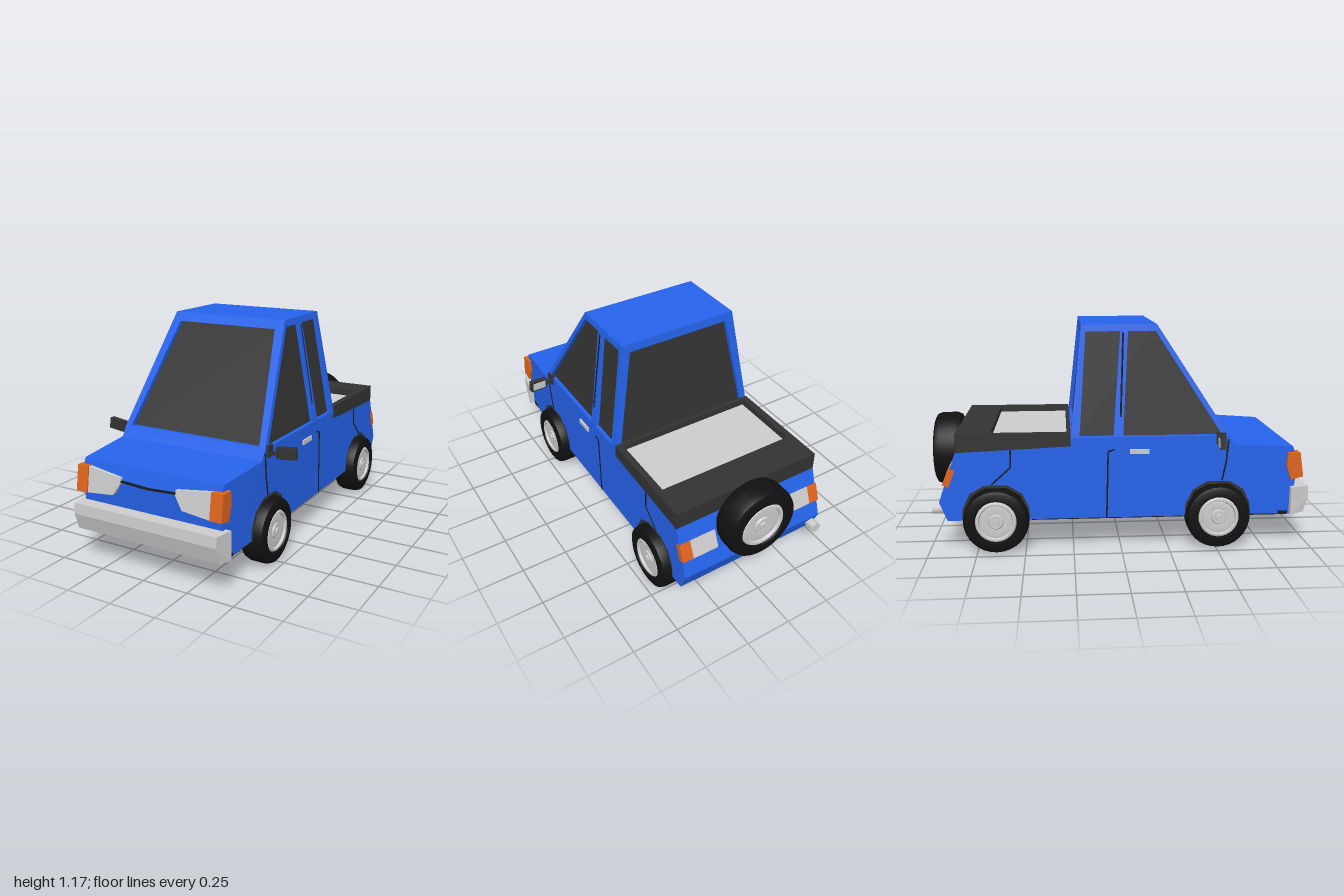
import * as THREE from 'three';
import { toCreasedNormals } from 'three/addons/utils/BufferGeometryUtils.js';

const mat = (color, flat = true) => new THREE.MeshStandardMaterial({ color, flatShading: flat });
const blue = mat(0x2563eb), dark = mat(0x333333), black = mat(0x1a1a1a), grey = mat(0xcccccc), orange = mat(0xdd651e);
const rubber = mat(0x111111, false), rim = mat(0xcccccc, false);

const toPath = (pts, T = THREE.Path) => new T(pts.map(p => new THREE.Vector2(p[0], p[1])));

// Extrudes an outline along +z
function slab(pts, depth, holes = []) {
  const shape = toPath(pts, THREE.Shape);
  shape.holes = holes.map(h => toPath(h));
  return new THREE.ExtrudeGeometry(shape, { depth, bevelEnabled: false });
}

// Extrudes a (z, y) side outline across x, from -depth to 0
const sideSlab = (pts, depth, holes) => slab(pts, depth, holes).rotateY(-Math.PI / 2);

// Moves every vertex by a rule
function warp(geo, rule) {
  const p = geo.attributes.position, v = new THREE.Vector3();
  for (let i = 0; i < p.count; i++) {
    v.fromBufferAttribute(p, i);
    rule(v);
    p.setXYZ(i, v.x, v.y, v.z);
  }
  geo.computeVertexNormals();
  return geo;
}

// Side outline spanning both sides, with half width given by a rule
const fullWidth = (pts, half) => warp(sideSlab(pts, 1), v => { v.x = (v.x > -0.5 ? 1 : -1) * half(v); });

const cabinHalf = y => 0.42 - (y - 0.6) * 0.158;
const screenZ = y => 0.56 - (y - 0.6) * 0.65;
const backZ = y => -0.26 + (y - 0.6) * 0.105;

export function createModel() {
  const model = new THREE.Group();
  const add = (name, geo, material, parent = model) => {
    const m = new THREE.Mesh(geo, material);
    m.name = name;
    parent.add(m);
    return m;
  };
  const box = (name, size, pos, material, parent) => {
    const m = add(name, new THREE.BoxGeometry(...size), material, parent);
    m.position.set(...pos);
    return m;
  };

  // Lower body with faceted wheel arches
  const arch = c => [[-0.175, 0.17], [-0.17, 0.235], [-0.135, 0.31], [-0.06, 0.355],
    [0.06, 0.355], [0.135, 0.31], [0.17, 0.235], [0.175, 0.17]].map(([z, y]) => [c + z, y]);
  const axles = [-0.65, 0.51];
  add('body', fullWidth([
    [-0.9, 0.17], ...arch(axles[0]), ...arch(axles[1]), [0.91, 0.16], [0.935, 0.44], [0.91, 0.53],
    [0.59, 0.55], [0.56, 0.6], [-0.26, 0.6], [-0.26, 0.555], [-0.85, 0.53], [-0.94, 0.27],
  ], v => 0.42 - Math.max(0, v.z - 0.59) * 0.06), blue);
  add('underside', fullWidth([[-0.89, 0.165], [0.9, 0.157], [0.9, 0.2], [-0.89, 0.2]],
    () => 0.335), black);
  box('floorMiddle', [0.83, 0.02, 0.8], [0, 0.174, -0.07], black);
  box('floorFront', [0.81, 0.02, 0.2], [0, 0.17, 0.79], black);
  for (const z of axles) box('wheelWell', [0.66, 0.2, 0.36], [0, 0.27, z], dark);
  for (const z of axles) for (const s of [-1, 1])
    add('archLining', sideSlab([...arch(z), ...arch(z).reverse().map(([a, y]) =>
      [z + (a - z) * 0.92, 0.17 + (y - 0.17) * 0.92])], 0.08).translate(s > 0 ? 0.419 : -0.339, 0, 0), dark);

  // Cabin: dark glass core inside sloping window frames
  const coreAt = y => [screenZ(y) - 0.03, backZ(y) + 0.022];
  const [f0, b0] = coreAt(0.58), [f1, b1] = coreAt(1.15);
  add('glass', fullWidth([[b0, 0.58], [f0, 0.58], [f1, 1.15], [b1, 1.15]], v => cabinHalf(v.y) - 0.02), dark);
  const outer = [[-0.42, 0.6], [0.42, 0.6], [0.33, 1.17], [-0.33, 1.17]];
  const opening = [[-0.385, 0.604], [0.385, 0.604], [0.288, 1.125], [-0.288, 1.125]];
  add('windscreenFrame', warp(slab(outer, 0.03, [opening]), v => { v.z += screenZ(v.y) - 0.03; }), blue);
  add('rearWindowFrame', warp(slab(outer, 0.022, [opening]), v => { v.z += backZ(v.y); }), blue);
  add('roof', fullWidth([[backZ(1.135), 1.135], [screenZ(1.135), 1.135], [0.19, 1.17], [-0.2, 1.17]],
    v => cabinHalf(v.y)), blue);
  const sideOuter = [[-0.26, 0.6], [0.56, 0.6], [0.19, 1.17], [-0.2, 1.17]];
  const frontWindow = [[0.01, 0.604], [0.525, 0.604], [0.183, 1.135], [0.04, 1.135]];
  const rearWindow = [[-0.215, 0.604], [-0.04, 0.604], [0, 1.135], [-0.178, 1.135]];

  // Thin dark joint between two (z, y) points on a body side
  const seam = (s, a, b) => {
    const m = box('panelSeam', [0.006, Math.hypot(b[0] - a[0], b[1] - a[1]), 0.008], [0, 0, 0], black);
    const A = new THREE.Vector3(s * (a[1] > 0.6 ? cabinHalf(a[1]) : 0.42), a[1], a[0]);
    const B = new THREE.Vector3(s * (b[1] > 0.6 ? cabinHalf(b[1]) : 0.42), b[1], b[0]);
    m.position.copy(A).lerp(B, 0.5);
    m.quaternion.setFromUnitVectors(new THREE.Vector3(0, 1, 0), B.sub(A).normalize());
  };
  const seams = [
    [[-0.035, 0.535], [-0.068, 0.525], [-0.076, 0.17]],
    [[0.56, 0.58], [0.55, 0.46], [0.53, 0.36]],
    [[-0.57, 0.54], [-0.57, 0.45], [-0.67, 0.36]],
    [[0.015, 1.13], [-0.002, 0.7]],
  ];

  for (const s of [-1, 1]) {
    add('sideWindowFrame', warp(sideSlab(sideOuter, 0.02, [frontWindow, rearWindow]), v => {
      v.x += s > 0 ? cabinHalf(v.y) : 0.02 - cabinHalf(v.y);
    }), blue);
    for (const line of seams) for (let i = 1; i < line.length; i++) seam(s, line[i - 1], line[i]);
    box('doorHandle', [0.016, 0.024, 0.1], [s * 0.422, 0.523, 0.095], grey);

    // Door mirror
    const mirror = new THREE.Group();
    mirror.name = 'doorMirror';
    mirror.position.set(s * 0.42, 0.575, 0.52);
    mirror.rotation.y = s * 0.12;
    model.add(mirror);
    box('mirrorMount', [0.02, 0.06, 0.05], [0, 0.01, 0], dark, mirror);
    box('mirrorArm', [0.08, 0.016, 0.016], [s * 0.03, 0, 0], dark, mirror);
    box('mirrorHead', [0.1, 0.058, 0.03], [s * 0.092, 0.008, 0], dark, mirror).rotation.z = s * 0.07;
    box('mirrorGlass', [0.08, 0.042, 0.004], [s * 0.092, 0.008, -0.016], grey, mirror).rotation.z = s * 0.07;

    // Front lamps
    const lens = [[0.355, 0.498], [0.16, 0.473], [0.16, 0.445], [0.2, 0.383], [0.355, 0.368]].map(([x, y]) => [s * x, y]);
    add('headlight', warp(slab(lens, 0.06), v => { v.z += 0.89 - (v.y - 0.42) * 0.15; }), grey);
    add('frontIndicator', sideSlab([[0.875, 0.43], [0.9, 0.355], [0.965, 0.37], [0.945, 0.5], [0.88, 0.5]], 0.065)
      .translate(s > 0 ? 0.42 : -0.355, 0, 0), orange);

    // Rear lamps, leaning with the tailgate
    const tail = (name, x, w, material) => {
      box(name, [w, 0.095, 0.035], [s * x, 0.4, -0.888], material).rotation.x = 0.37;
    };
    tail('rearIndicator', 0.392, 0.06, orange);
    tail('tailLight', 0.29, 0.144, grey);
  }

  // Grille slot and front bumper with angled ends
  add('grille', slab([[-0.16, 0.458], [0, 0.45], [0.16, 0.458], [0.16, 0.449], [0, 0.441], [-0.16, 0.449]], 0.03)
    .translate(0, 0, 0.912), black);
  const bumper = new THREE.Group();
  bumper.name = 'frontBumper';
  model.add(bumper);
  add('bumperBar', fullWidth([[0.9, 0.165], [0.975, 0.175], [1.0, 0.26], [0.995, 0.315], [0.9, 0.315]],
    v => v.z > 0.95 ? 0.412 : 0.432), grey, bumper);

  // Load bed: dark surround and grey cover
  const bed = slab([[-0.42, 0.26], [0.42, 0.26], [0.42, 0.85], [-0.42, 0.85]], 1,
    [[[-0.385, 0.28], [0.385, 0.28], [0.385, 0.67], [-0.385, 0.67]]]).rotateX(-Math.PI / 2);
  add('bedSurround', warp(bed, v => {
    v.y = v.y > 0.5 ? 0.625 : 0.555 + (v.z + 0.26) * 0.0424;
  }), dark);
  box('bedFloor', [0.78, 0.04, 0.4], [0, 0.57, -0.475], grey);

  // Wheels: one lathe for the tyre and one for the rim
  const lathe = pts => toCreasedNormals(new THREE.LatheGeometry(pts.map(p => new THREE.Vector2(...p)), 32), 0.6);
  const tyreGeo = lathe([[0.1, -0.065], [0.145, -0.065], [0.162, -0.057], [0.17, -0.035], [0.17, 0.035],
    [0.162, 0.057], [0.145, 0.065], [0.112, 0.065], [0.104, 0.04]]);
  const rimGeo = lathe([[0, -0.06], [0.105, -0.06], [0.106, 0.056], [0.1, 0.063], [0.09, 0.063], [0.085, 0.052],
    [0.074, 0.055], [0.04, 0.05], [0.035, 0.058], [0.018, 0.058], [0.016, 0.065], [0, 0.065]]);
  const wheel = (name, x, y, z) => {
    const g = new THREE.Group();
    g.name = name;
    g.position.set(x, y, z);
    add('tyre', tyreGeo, rubber, g);
    add('rim', rimGeo, rim, g);
    model.add(g);
    return g;
  };
  for (const z of axles) for (const s of [-1, 1])
    wheel(z > 0 ? 'frontWheel' : 'rearWheel', s * 0.405, 0.17, z).rotation.z = -s * Math.PI / 2;
  const spare = wheel('spareWheel', 0.005, 0.46, -0.925);
  spare.rotation.x = -Math.PI / 2;
  spare.scale.set(1.18, 1.15, 1.18);

  // Exhaust tip
  const pipe = add('exhaust', new THREE.CylinderGeometry(0.026, 0.026, 0.1, 12), grey);
  pipe.rotation.x = Math.PI / 2;
  pipe.position.set(-0.38, 0.225, -0.93);

  return model;
}
